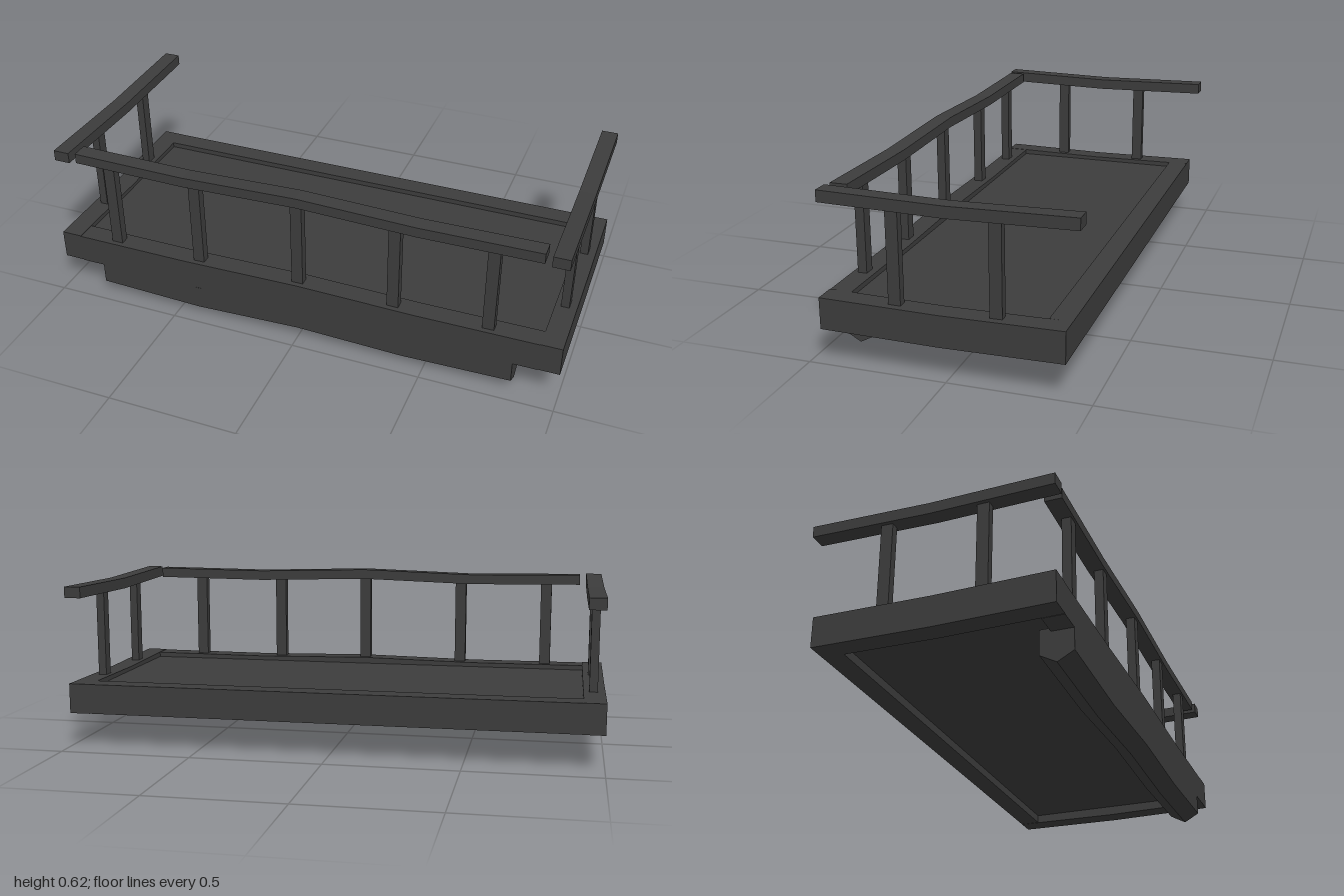
import * as THREE from 'three';

const dark = new THREE.MeshStandardMaterial({ color: 0x3c3c3c, flatShading: true });

// Raises each vertex by a sag height interpolated along one axis
function bend(geometry, axis, half, sag) {
  const p = geometry.attributes.position;
  const n = sag.length - 1;
  for (let i = 0; i < p.count; i++) {
    const c = axis === 'x' ? p.getX(i) : p.getZ(i);
    const t = THREE.MathUtils.clamp(((c + half) / (2 * half)) * n, 0, n);
    const k = Math.min(Math.floor(t), n - 1);
    p.setY(i, p.getY(i) + THREE.MathUtils.lerp(sag[k], sag[k + 1], t - k));
  }
  geometry.computeVertexNormals();
  return geometry;
}

// Box given by its limits, with segments along x and z for bending
function bounds(x0, x1, y0, y1, z0, z1, sx = 1, sz = 1) {
  return new THREE.BoxGeometry(x1 - x0, y1 - y0, z1 - z0, sx, 1, sz)
    .translate((x0 + x1) / 2, (y0 + y1) / 2, (z0 + z1) / 2);
}

export function createModel() {
  const model = new THREE.Group();
  model.name = 'balcony';
  const add = (name, geometry) => {
    const mesh = new THREE.Mesh(geometry, dark);
    mesh.name = name;
    model.add(mesh);
  };
  const frontSag = [0, -0.006, 0.008, -0.005, 0];

  // Floor panel, recessed within the frame above and below
  add('floorPanel', bounds(-0.925, 0.925, 0.165, 0.225, -0.335, 0.375));

  // Frame
  add('frontFrameBeam', bend(bounds(-0.92, 0.92, 0.13, 0.244, 0.37, 0.45, 4), 'x', 0.92,
    [0, -0.002, 0.006, -0.002, 0]));
  add('backFrameBeam', bounds(-0.92, 0.92, 0.132, 0.245, -0.41, -0.33));

  // Pointed support beam under the front edge
  const section = new THREE.Shape([[0.33, 0.14], [0.33, 0.048], [0.39, 0.015], [0.45, 0.048], [0.45, 0.14]]
    .map(([z, y]) => new THREE.Vector2(z, y)));
  const support = new THREE.ExtrudeGeometry(section, { depth: 1.66, steps: 4, bevelEnabled: false })
    .translate(0, 0, -0.83).rotateY(-Math.PI / 2);
  add('supportBeam', bend(support, 'x', 0.83, [0.002, -0.012, 0.004, -0.008, 0.002]));

  // Front handrail and posts
  add('frontHandrail', bend(bounds(-0.9, 0.9, 0.58, 0.619, 0.375, 0.438, 4), 'x', 0.9, frontSag));
  for (const x of [-0.765, -0.41, -0.003, 0.37, 0.727]) {
    add('frontPost', bounds(x - 0.022, x + 0.022, 0.235, 0.59, 0.396, 0.43));
  }

  // Side beams, handrails and posts
  for (const s of [-1, 1]) {
    const side = s > 0 ? 'left' : 'right';
    const across = (a, b) => (s > 0 ? [a, b] : [-b, -a]);
    add(side + 'FrameBeam', bend(bounds(...across(0.92, 1), 0.132, 0.246, -0.41, 0.45, 1, 2), 'z', 0.45,
      [0, -0.006, 0]));
    add(side + 'Handrail', bend(bounds(...across(0.925, 0.987), 0.578, 0.62, -0.45, 0.445, 1, 4), 'z', 0.45,
      [0, -0.009, 0]));
    for (const z of [0.187, -0.168]) {
      add(side + 'Post', bounds(...across(0.941, 0.972), 0.23, 0.585, z - 0.022, z + 0.022));
    }
  }
  return model;
}
